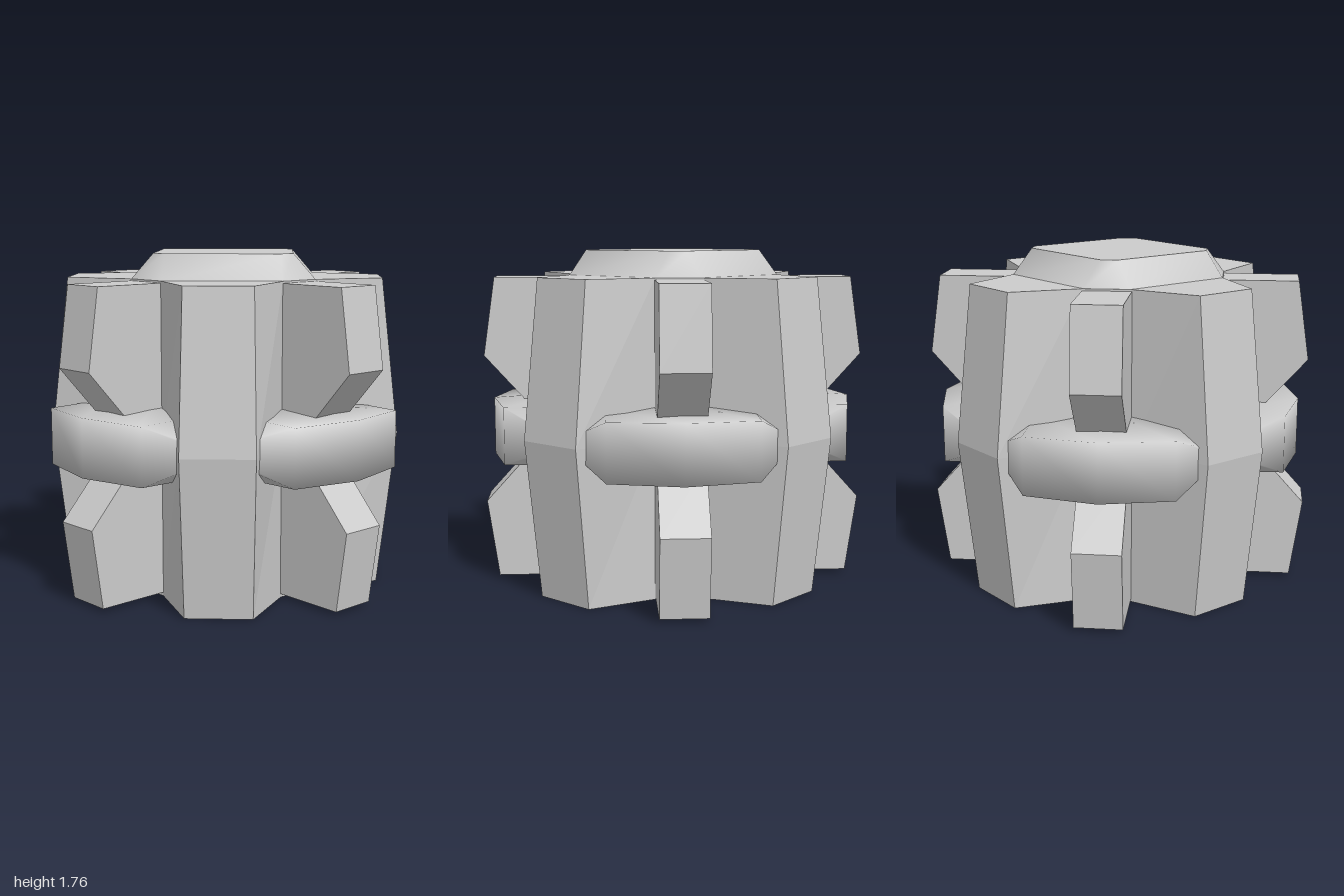
import * as THREE from 'three';
import { toCreasedNormals } from 'three/addons/utils/BufferGeometryUtils.js';

const MID = 0.82, TOP = 1.63;

// Skin a list of equal-length rings (points counterclockwise about the loft direction) and cap both ends.
function loft(rings) {
  const n = rings[0].length;
  const pos = [], idx = [];
  rings.forEach(ring => ring.forEach(p => pos.push(...p)));
  for (let r = 0; r < rings.length - 1; r++) {
    for (let i = 0; i < n; i++) {
      const a = r * n + i, b = r * n + (i + 1) % n;
      idx.push(a, b, b + n, a, b + n, a + n);
    }
  }
  [0, rings.length - 1].forEach((r, end) => {
    const centre = pos.length / 3;
    pos.push(...[0, 1, 2].map(k => rings[r].reduce((s, p) => s + p[k], 0) / n));
    for (let i = 0; i < n; i++) {
      const a = r * n + i, b = r * n + (i + 1) % n;
      if (end) idx.push(centre, a, b);
      else idx.push(centre, b, a);
    }
  });
  const geo = new THREE.BufferGeometry();
  geo.setAttribute('position', new THREE.Float32BufferAttribute(pos, 3));
  geo.setIndex(idx);
  geo.computeVertexNormals();
  return geo;
}

// Repeat a quarter outline of [x, z] corners four times around y.
function fourfold(quarter, y) {
  const ring = [];
  for (let q = 0; q < 4; q++) {
    for (const [u, v] of quarter) {
      const [x, z] = [[u, -v], [-v, -u], [-u, v], [v, u]][q];
      ring.push([x, y, z]);
    }
  }
  return ring;
}

export function createModel() {
  const group = new THREE.Group();
  const flat = new THREE.MeshStandardMaterial({ color: 0xcccccc, flatShading: true });
  const smooth = new THREE.MeshStandardMaterial({ color: 0xcccccc });
  const add = (name, geo, mat, parent = group) => {
    const mesh = new THREE.Mesh(geo, mat);
    mesh.name = name;
    parent.add(mesh);
    return mesh;
  };

  // Body: four diagonal lobes, swelling at mid height, with grooves between
  const section = (far, near, y) =>
    fourfold([[0.55, 0.12], [far, near], [near, far], [0.12, 0.55]], y);
  add('body', loft([section(0.7, 0.46, 0), section(0.775, 0.515, MID), section(0.7, 0.46, TOP)]), flat);

  // Top cap: tapered octagon
  const cap = loft([
    fourfold([[0.55, 0.12], [0.12, 0.55]], TOP - 0.005),
    fourfold([[0.46, 0.045], [0.045, 0.46]], 1.76),
  ]);
  add('topCap', toCreasedNormals(cap, 0.7), smooth);

  // Fins: side profile (distance from axis, height), mirrored about mid height
  const finShape = new THREE.Shape([
    [0.45, 1.62], [0.45, 0.9], [0.72, 0.9], [1, 1.21], [0.94, 1.62],
  ].map(p => new THREE.Vector2(...p)));
  const lowerShape = new THREE.Shape([
    [0.45, 0.02], [0.94, 0.02], [1, 0.43], [0.72, 0.74], [0.45, 0.74],
  ].map(p => new THREE.Vector2(...p)));
  const [upperFin, lowerFin] = [finShape, lowerShape].map(shape =>
    new THREE.ExtrudeGeometry(shape, { depth: 0.245, bevelEnabled: false })
      .translate(0, 0, -0.1225).rotateY(-Math.PI / 2));

  // Bulge: tapering rounded band, stations of [x, outer z, outer half height, inner half height]
  const bulge = loft([
    [-0.58, 0.58, 0.01, 0.01],
    [-0.37, 0.885, 0.148, 0.155],
    [0, 0.96, 0.152, 0.18],
    [0.37, 0.885, 0.148, 0.155],
    [0.58, 0.58, 0.01, 0.01],
  ].map(([x, z, outer, inner]) => [
    [x, MID + inner, 0.5], [x, MID + outer, z], [x, MID - outer, z], [x, MID - inner, 0.5],
  ]));

  // One set of fins and bulge in each groove
  ['front', 'left', 'back', 'right'].forEach((side, i) => {
    const set = new THREE.Group();
    set.name = side + 'Groove';
    set.rotation.y = i * Math.PI / 2;
    add('upperFin', upperFin, flat, set);
    add('lowerFin', lowerFin, flat, set);
    add('bulge', bulge, smooth, set);
    group.add(set);
  });
  return group;
}
